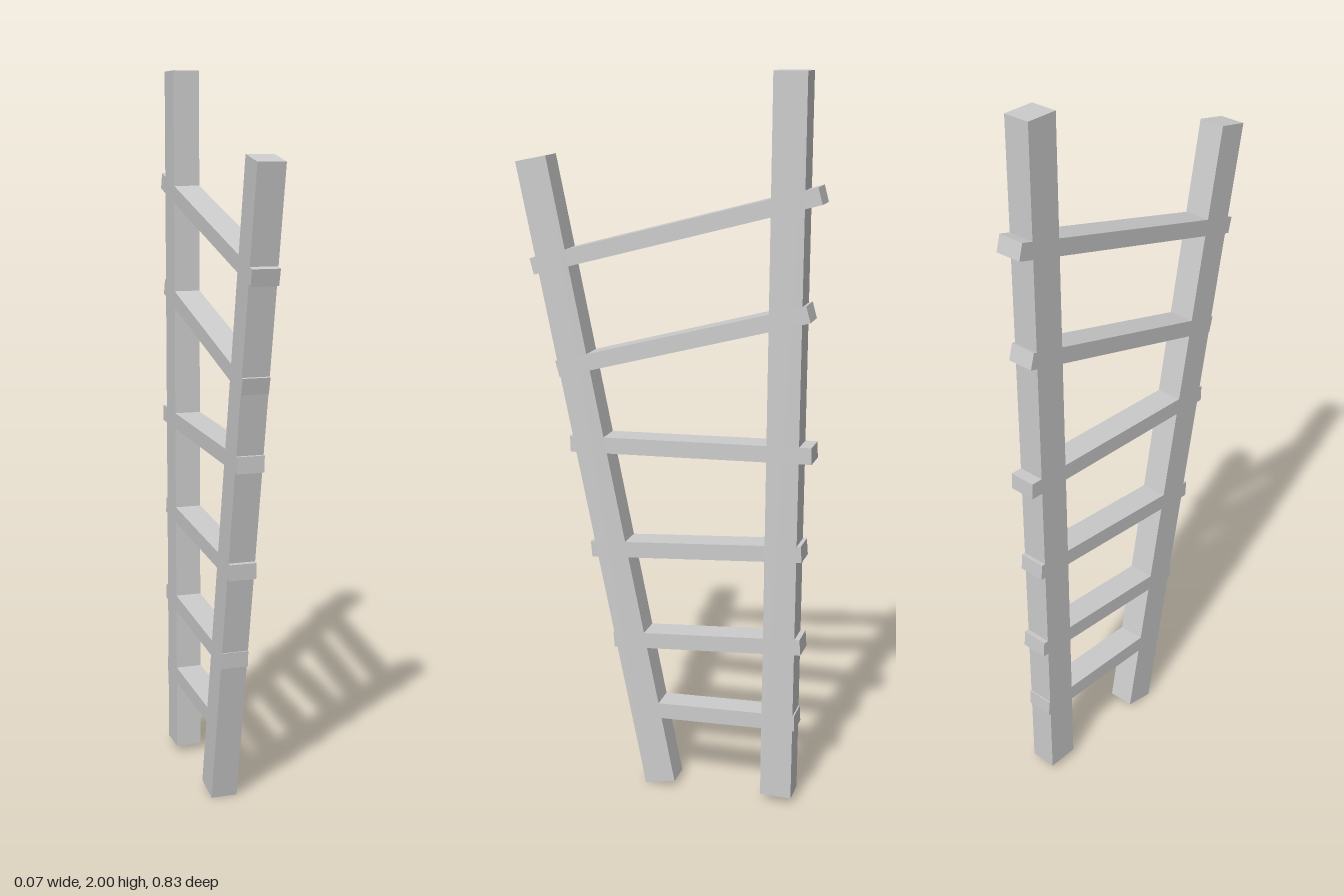
import * as THREE from 'three';

const WIDTH = 0.074; // shared thickness along x
const RAIL = 0.088;
const RUNG = 0.045;

export function createModel() {
  const group = new THREE.Group();
  const material = new THREE.MeshStandardMaterial({ color: 0xcccccc, flatShading: true });

  // Square-ended beam between two [z, y] points in the x = 0 plane
  function beam(name, [z0, y0], [z1, y1], depth) {
    const length = Math.hypot(z1 - z0, y1 - y0);
    const mesh = new THREE.Mesh(new THREE.BoxGeometry(WIDTH, length, depth), material);
    mesh.position.set(0, (y0 + y1) / 2, (z0 + z1) / 2);
    mesh.rotation.x = Math.atan2(z1 - z0, y1 - y0);
    mesh.name = name;
    group.add(mesh);
  }

  // Upright rear rail and leaning front rail
  beam('rearRail', [-0.324, 0.02], [-0.324, 2], RAIL);
  beam('frontRail', [0.016, 0.009], [0.374, 1.769], RAIL);

  // Uneven rungs: front end, rear end
  const rungs = [
    [[0.09, 0.229], [-0.373, 0.25]],
    [[0.153, 0.434], [-0.384, 0.478]],
    [[0.217, 0.698], [-0.381, 0.746]],
    [[0.275, 0.998], [-0.402, 1.021]],
    [[0.309, 1.206], [-0.384, 1.396]],
    [[0.377, 1.483], [-0.407, 1.697]],
  ];
  rungs.forEach(([front, rear], i) => beam(`rung${i + 1}`, front, rear, RUNG));

  return group;
}
